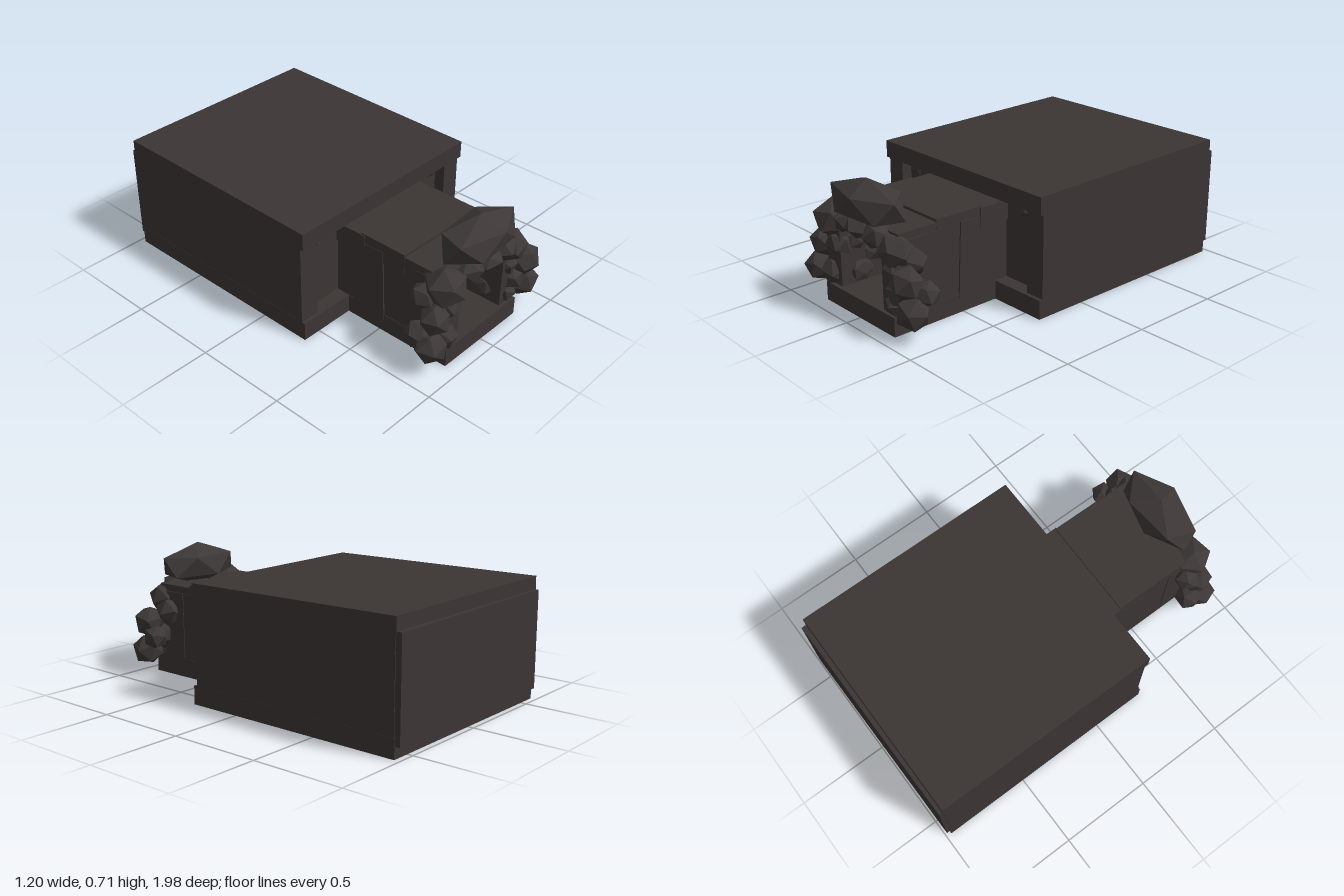
import * as THREE from 'three';

const stone = new THREE.MeshStandardMaterial({ color: 0x3b3534, flatShading: true });
stone.name = 'dark stone';
const rockMat = new THREE.MeshStandardMaterial({ color: 0x3d3837, flatShading: true });
rockMat.name = 'grey rock';

export function createModel() {
  const model = new THREE.Group();
  model.name = 'caveEntrance';

  // Box given by its limits on each axis, with an optional small tilt
  function slab(name, [x0, x1], [y0, y1], [z0, z1], rot = [0, 0, 0]) {
    const mesh = new THREE.Mesh(new THREE.BoxGeometry(x1 - x0, y1 - y0, z1 - z0), stone);
    mesh.position.set((x0 + x1) / 2, (y0 + y1) / 2, (z0 + z1) / 2);
    mesh.rotation.set(...rot);
    mesh.name = name;
    model.add(mesh);
    return mesh;
  }

  // Faceted boulder: a turned icosahedron squashed along the axes
  let seed = 7;
  const rand = () => (seed = (seed * 16807) % 2147483647) / 2147483647;
  function rock(name, x, y, z, sx, sy = sx, sz = sx) {
    const geo = new THREE.IcosahedronGeometry(1, 0);
    geo.rotateX(rand() * 3).rotateY(rand() * 3).rotateZ(rand() * 3);
    geo.scale(sx, sy, sz);
    const mesh = new THREE.Mesh(geo, rockMat);
    mesh.position.set(x, y, z);
    mesh.name = name;
    model.add(mesh);
    return mesh;
  }

  // Chamber
  slab('chamberFloor', [-0.6, 0.6], [0, 0.1], [-0.97, 0.29]);
  slab('chamberCeiling', [-0.6, 0.6], [0.547, 0.64], [-0.97, 0.29], [0.014, 0, 0]);
  slab('backWall', [-0.595, 0.595], [0.06, 0.58], [-0.993, -0.88], [0, 0.006, 0]);
  for (const s of [-1, 1]) {
    const span = (a, b) => (s > 0 ? [a, b] : [-b, -a]);
    slab('sideWall', span(0.49, 0.599), [0.09, 0.56], [-0.965, 0.27]);
    slab('frontWall', span(0.17, 0.5), [0.09, 0.56], [0.1, 0.21]);
  }
  slab('doorLintel', [-0.18, 0.18], [0.42, 0.56], [0.1, 0.21]);

  // Tunnel: floor, then rows of slightly uneven wall and roof slabs
  slab('tunnelFloor', [-0.28, 0.28], [0, 0.1], [0.28, 0.92]);
  const bays = [[0.2, 0.36], [0.33, 0.52], [0.5, 0.72], [0.7, 0.9]];
  for (const s of [-1, 1]) {
    bays.forEach(([z0, z1], i) => {
      const out = 0.277 + (i % 2) * 0.006;
      const x = s > 0 ? [0.17, out] : [-out, -0.17];
      slab('tunnelWall', x, [0.07, 0.47], [z0, z1], [i === 1 ? -0.04 : 0.01, s * 0.01, 0]);
    });
  }
  slab('tunnelRoof', [-0.285, 0.285], [0.41, 0.514], [0.2, 0.39], [0, 0.01, 0]);
  slab('tunnelRoof', [-0.281, 0.277], [0.41, 0.522], [0.375, 0.65], [0, -0.01, 0]);
  slab('tunnelRoof', [-0.28, 0.275], [0.41, 0.508], [0.64, 0.88]);

  // Capstone with one point upwards
  const cap = new THREE.IcosahedronGeometry(1, 0);
  cap.rotateX(-Math.atan(2 / (1 + Math.sqrt(5)))).rotateX(Math.PI / 2);
  const up = new THREE.Vector3().fromBufferAttribute(cap.attributes.position, 0);
  cap.applyQuaternion(new THREE.Quaternion().setFromUnitVectors(up.normalize(), new THREE.Vector3(0, 1, 0)));
  cap.rotateY(0.15).scale(0.275, 0.12, 0.143);
  const capstone = new THREE.Mesh(cap, rockMat);
  capstone.position.set(0.012, 0.59, 0.855);
  capstone.name = 'capstone';
  model.add(capstone);

  // Boulders stacked around the mouth: x, y, z, radii
  const mouth = [
    [-0.365, 0.155, 0.89, 0.088, 0.08], [-0.255, 0.16, 0.88, 0.075],
    [-0.36, 0.19, 0.81, 0.075], [-0.33, 0.295, 0.88, 0.082],
    [-0.22, 0.32, 0.87, 0.075], [-0.25, 0.44, 0.87, 0.115, 0.105],
    [-0.32, 0.39, 0.8, 0.07], [-0.1, 0.475, 0.89, 0.08, 0.065],
    [0.02, 0.48, 0.9, 0.09, 0.055], [0.145, 0.475, 0.9, 0.08, 0.075],
    [0.25, 0.425, 0.88, 0.09, 0.09], [0.235, 0.32, 0.87, 0.065],
    [0.28, 0.36, 0.81, 0.08], [0.35, 0.3, 0.9, 0.095, 0.09, 0.085],
    [0.39, 0.23, 0.81, 0.07], [0.28, 0.22, 0.87, 0.08],
    [0.245, 0.145, 0.88, 0.058], [0.38, 0.15, 0.885, 0.088, 0.09],
  ];
  for (const b of mouth) rock('mouthBoulder', ...b);

  // Rocks hanging inside the tunnel and chamber
  const hanging = [
    [-0.11, 0.36, 0.32, 0.08, 0.1], [0, 0.38, 0.28, 0.08, 0.08], [0.1, 0.31, 0.35, 0.075, 0.12],
    [-0.44, 0.5, 0.2, 0.05], [0.43, 0.5, 0.2, 0.05],
    [-0.3, 0.5, -0.3, 0.1, 0.15], [0.3, 0.5, -0.5, 0.11, 0.14],
  ];
  for (const h of hanging) rock('hangingRock', ...h);

  // Thin jamb stones inside the mouth
  for (const s of [-1, 1]) {
    for (const [y, z] of [[0.16, 0.78], [0.25, 0.7], [0.34, 0.8]]) rock('jambStone', s * 0.168, y, z, 0.025, 0.065, 0.07);
  }

  // Small shards on the floor
  for (let i = 0; i < 5; i++) {
    const shard = new THREE.Mesh(new THREE.ConeGeometry(0.012, 0.08 - i * 0.008, 4), rockMat);
    shard.position.set(-0.13 + i * 0.022, 0.125 - i * 0.004, 0.45 + (i % 2) * 0.04);
    shard.rotation.z = 0.3 - i * 0.25;
    shard.name = 'floorShard';
    model.add(shard);
  }
  return model;
}
